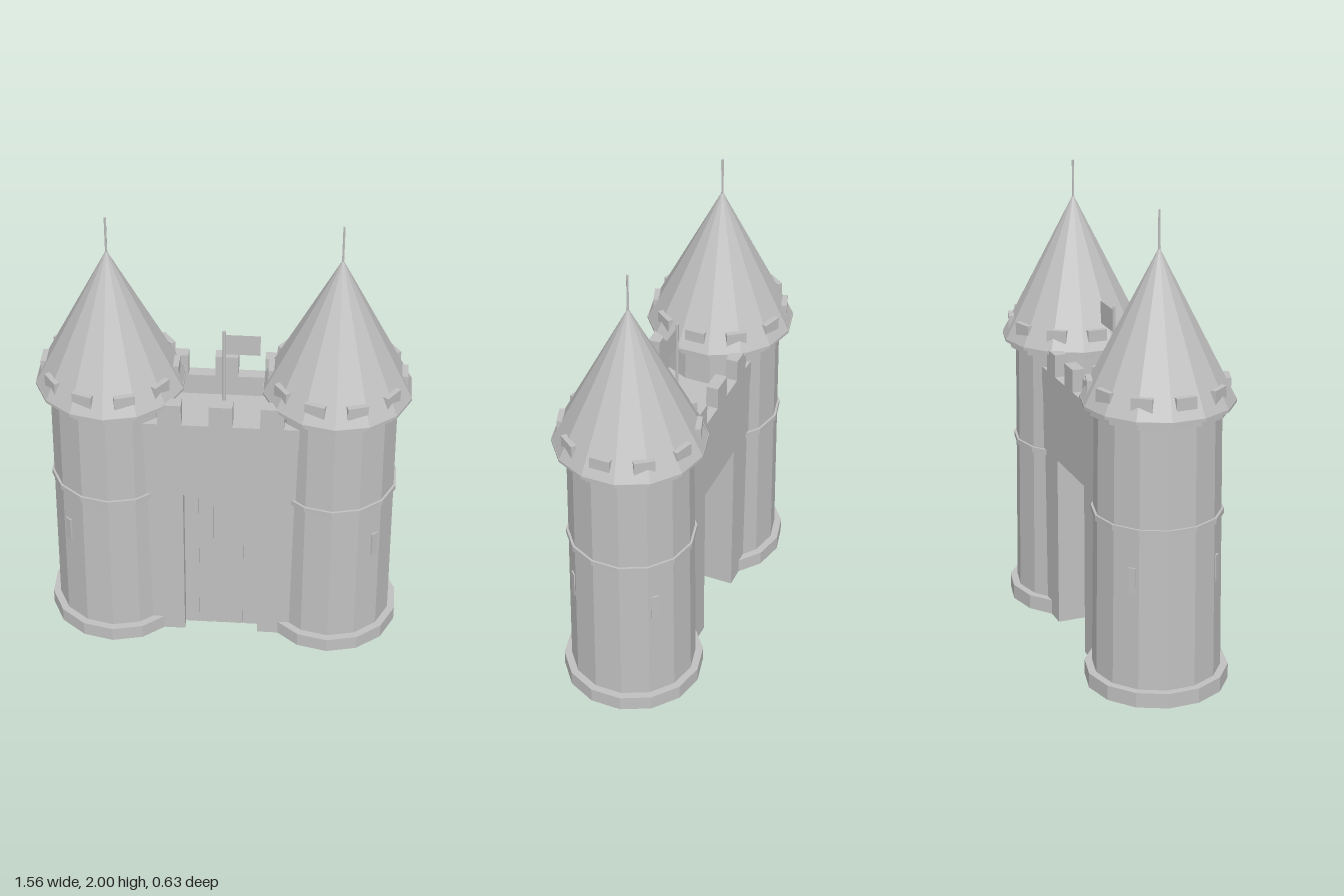
import * as THREE from 'three';

export function createModel() {
  const model = new THREE.Group();
  model.name = 'castleGate';
  const stone = new THREE.MeshStandardMaterial({ color: 0xc0c0c0, flatShading: true });
  stone.name = 'stone grey';
  const cloth = new THREE.MeshStandardMaterial({ color: 0xc0c0c0, side: THREE.DoubleSide });
  cloth.name = 'cloth grey';

  function add(parent, name, geometry, x, y, z, turn = 0, material = stone) {
    const mesh = new THREE.Mesh(geometry, material);
    mesh.name = name;
    mesh.position.set(x, y, z);
    mesh.rotation.y = turn;
    parent.add(mesh);
    return mesh;
  }
  // Box given by its limits on each axis
  const block = (parent, name, x0, x1, y0, y1, z0, z1) =>
    add(parent, name, new THREE.BoxGeometry(x1 - x0, y1 - y0, z1 - z0),
      (x0 + x1) / 2, (y0 + y1) / 2, (z0 + z1) / 2);
  // Upright drum from y0 to y1
  const drum = (parent, name, rBottom, rTop, y0, y1, sides = 14) =>
    add(parent, name, new THREE.CylinderGeometry(rTop, rBottom, y1 - y0, sides), 0, (y0 + y1) / 2, 0);

  for (const side of [-1, 1]) {
    const tower = new THREE.Group();
    tower.name = side > 0 ? 'leftTower' : 'rightTower';
    tower.position.x = side * 0.472;
    model.add(tower);

    drum(tower, 'towerBase', 0.3, 0.3, 0, 0.065);
    drum(tower, 'towerBody', 0.268, 0.257, 0.065, 1.2);
    drum(tower, 'towerBand', 0.271, 0.271, 0.742, 0.766);
    drum(tower, 'towerCollar', 0.29, 0.29, 1.194, 1.222);
    drum(tower, 'roofRim', 0.315, 0.315, 1.222, 1.235);
    drum(tower, 'roof', 0.313, 0, 1.235, 1.85);
    drum(tower, 'spire', 0.005, 0.005, 1.84, 2, 6);

    // Ring of battlements around the roof
    for (let i = 0; i < 10; i++) {
      const a = Math.PI / 2 + (i * Math.PI) / 5;
      add(tower, 'towerMerlon', new THREE.BoxGeometry(0.086, 0.08, 0.024),
        0.275 * Math.sin(a), 1.282, 0.275 * Math.cos(a), a);
    }
    // Arrow slits on the outer front and outer back
    for (const a of [Math.PI / 4, (3 * Math.PI) / 4]) {
      add(tower, 'arrowSlit', new THREE.BoxGeometry(0.03, 0.115, 0.02),
        side * 0.254 * Math.sin(a), 0.538, 0.254 * Math.cos(a), side * a);
    }
    // Wall beside the gate
    block(model, 'gateJamb', Math.min(side * 0.16, side * 0.4), Math.max(side * 0.16, side * 0.4),
      0, 0.772, -0.198, 0.198);
  }

  // Wall above the passage, with parapets front and back
  block(model, 'gateBridge', -0.33, 0.33, 0.77, 1.045, -0.202, 0.202);
  for (const side of [-1, 1]) {
    const z0 = side > 0 ? 0.152 : -0.204;
    block(model, 'parapet', -0.33, 0.33, 1.04, 1.142, z0, z0 + 0.052);
    for (const x of [-0.212, 0, 0.212])
      block(model, 'parapetMerlon', x - 0.049, x + 0.049, 1.142, 1.24, z0, z0 + 0.052);
  }

  // Plank gate near the front of the passage
  block(model, 'gate', -0.161, 0.161, 0.003, 0.771, 0.135, 0.145);
  for (let i = 0; i < 5; i++) {
    const x = -0.128 + i * 0.064;
    block(model, 'gatePlank', x - 0.03, x + 0.03, 0.003, 0.771, 0.14, 0.152);
  }

  // Flag on the bridge
  drum(model, 'flagPole', 0.007, 0.007, 1.04, 1.48, 8);
  add(model, 'flag', new THREE.PlaneGeometry(0.146, 0.097), 0.077, 1.413, 0, 0, cloth);

  return model;
}
